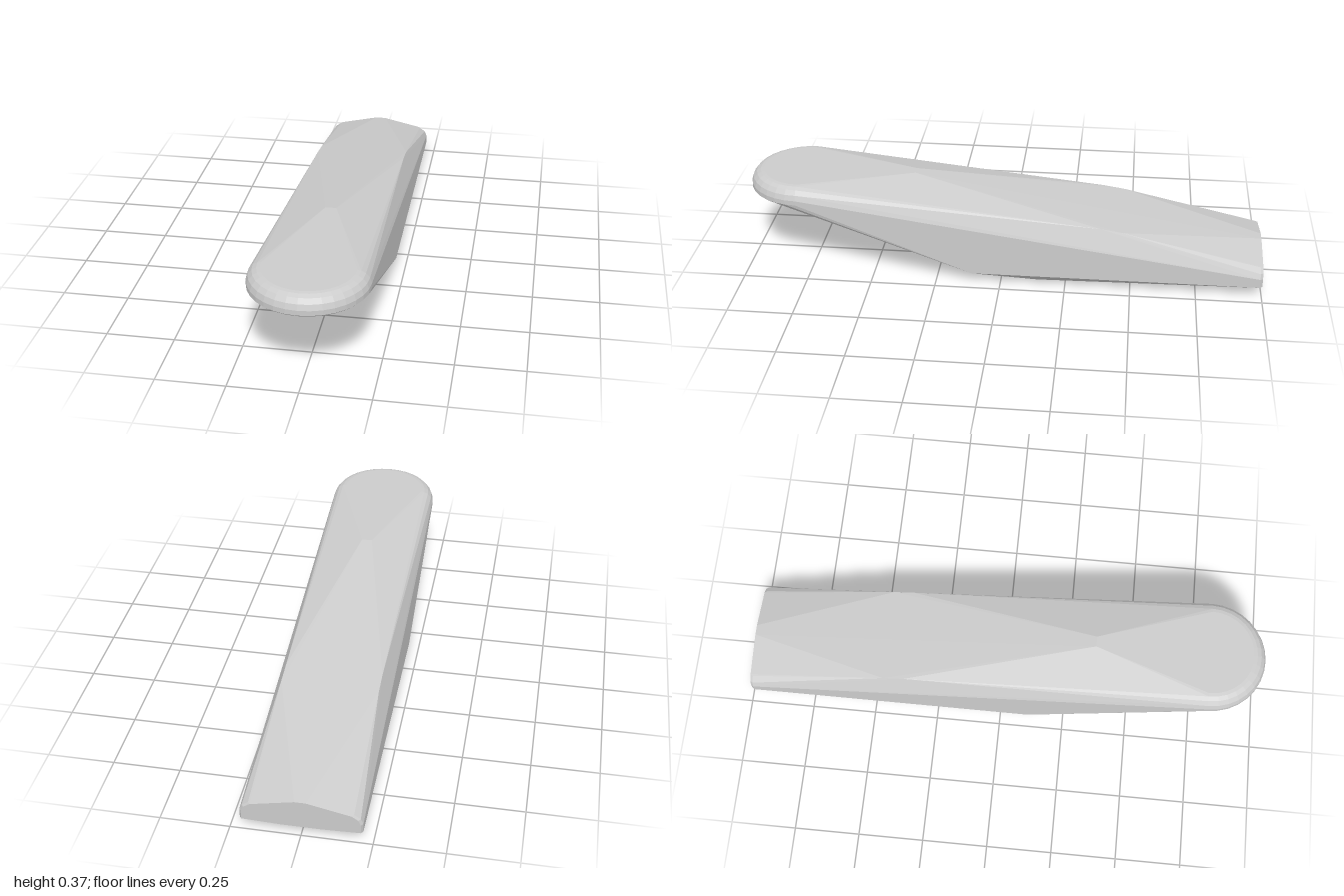
import * as THREE from 'three';
import { ConvexGeometry } from 'three/addons/geometries/ConvexGeometry.js';

export function createModel() {
  const group = new THREE.Group();
  const points = [];
  const add = (x, y, z) => points.push(new THREE.Vector3(x, y, z));
  const mirrored = (x, y, z) => { add(x, y, z); add(-x, y, z); };

  // Rounded nose: a half circle swept through a soft rim profile [radius, y]
  const rim = [[0.207, 0.297], [0.215, 0.304], [0.215, 0.322], [0.208, 0.342],
    [0.194, 0.358], [0.178, 0.366], [0.165, 0.368]];
  const segments = 16;
  for (const [r, y] of rim) {
    for (let i = 0; i <= segments; i++) {
      const a = (i / segments) * Math.PI;
      add(r * Math.cos(a), y, 0.785 + r * Math.sin(a));
    }
  }

  // Upper creases where the flat top starts to fall towards the tail
  mirrored(0.02, 0.368, 0.35);
  mirrored(0.181, 0.247, -0.38);
  mirrored(0.181, 0.235, -0.46);

  // Tail outline, with a narrow bevel round the end face
  const tail = [[0.215, 0.045], [0.215, 0.08], [0.206, 0.1], [0.183, 0.116]];
  for (const [x, y] of tail) {
    mirrored(x, y, -0.99);
    mirrored(x - 0.007, y, -1);
  }
  mirrored(0.02, 0.15, -1);
  mirrored(0.07, 0.04, -1);

  // Lower side corners, chin and flat base
  mirrored(0.215, 0.043, 0.11);
  mirrored(0.02, 0.038, 0.23);
  mirrored(0.165, 0, -0.14);
  mirrored(0.075, 0, -0.94);

  const body = new THREE.Mesh(
    new ConvexGeometry(points),
    new THREE.MeshStandardMaterial({ color: 0xcccccc, flatShading: true })
  );
  body.name = 'body';
  group.add(body);
  return group;
}
